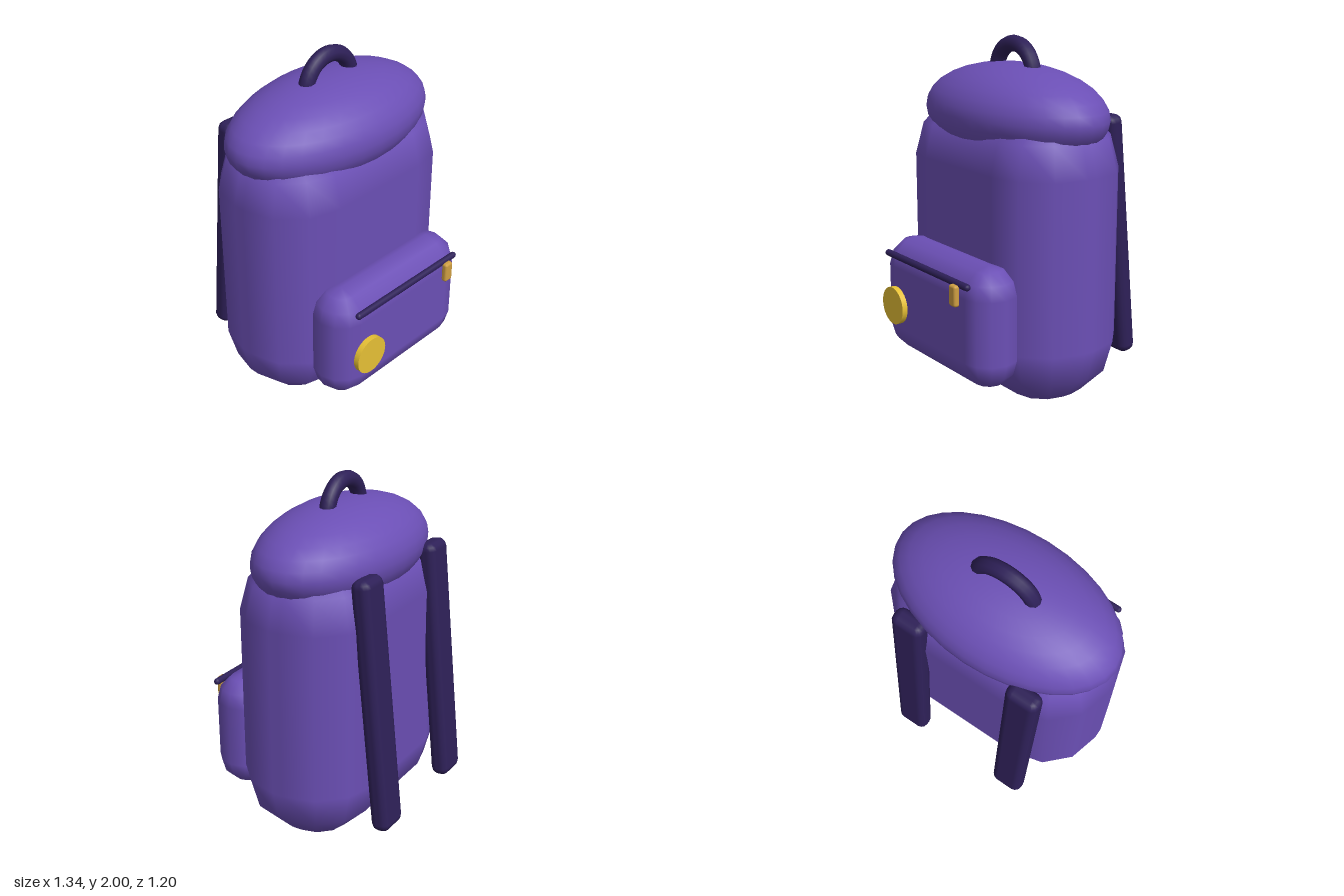
import * as THREE from 'three';

const mat = (color) => new THREE.MeshStandardMaterial({ color });

// Box with every edge rounded in `seg` equal-angle steps
function roundedBox(w, h, d, r, seg = 3) {
  const step = Math.PI / 2 / seg;
  const bx = w / 2 - r, by = h / 2 - r, bz = d / 2 - r;
  // rows run from the top cap down to the bottom cap, doubled at the equator
  const rows = [];
  for (let half = 0; half < 2; half++)
    for (let i = 0; i <= seg; i++) rows.push({ t: (half * seg + i) * step, sy: half ? -1 : 1, k: 1 });
  rows.unshift({ t: 0, sy: 1, k: 0 });
  rows.push({ t: Math.PI, sy: -1, k: 0 });
  // columns run round the box, doubled where the flat sides lie
  const cols = [];
  for (let q = 0; q < 4; q++)
    for (let i = 0; i <= seg; i++)
      cols.push({ p: (q * seg + i) * step, sx: q === 0 || q === 3 ? 1 : -1, sz: q < 2 ? 1 : -1 });
  cols.push(cols[0]);

  const pos = [], nor = [], idx = [];
  for (const { t, sy, k } of rows)
    for (const { p, sx, sz } of cols) {
      const n = [Math.sin(t) * Math.cos(p), Math.cos(t), Math.sin(t) * Math.sin(p)];
      pos.push(k * sx * bx + n[0] * r, sy * by + n[1] * r, k * sz * bz + n[2] * r);
      nor.push(...n);
    }
  const c = cols.length;
  for (let i = 0; i < rows.length - 1; i++)
    for (let j = 0; j < c - 1; j++) {
      const a = i * c + j, b = a + c;
      idx.push(a, a + 1, b, a + 1, b + 1, b);
    }
  const g = new THREE.BufferGeometry();
  g.setAttribute('position', new THREE.Float32BufferAttribute(pos, 3));
  g.setAttribute('normal', new THREE.Float32BufferAttribute(nor, 3));
  g.setIndex(idx);
  return g;
}

export function createModel() {
  const model = new THREE.Group();
  model.name = 'backpack';
  const fabric = mat(0x6b4fb5), dark = mat(0x2e2058), gold = mat(0xe6c035), brass = mat(0xcf9f42);

  const add = (name, geometry, material, x, y, z) => {
    const mesh = new THREE.Mesh(geometry, material);
    mesh.name = name;
    mesh.position.set(x, y, z);
    model.add(mesh);
    return mesh;
  };

  // Main bag and the domed lid sunk into its top
  add('body', roundedBox(1.34, 1.67, 0.78, 0.36), fabric, 0, 0.835, -0.04);
  const lid = new THREE.SphereGeometry(1, 32, 16).scale(0.67, 0.27, 0.39);
  add('lid', lid, fabric, 0, 1.583, -0.04);

  // Carry loop
  add('handle', new THREE.TorusGeometry(0.165, 0.045, 10, 20, Math.PI), dark, 0, 1.79, -0.043);

  // Front pocket with zip, pull tab and round badge
  add('frontPocket', roundedBox(1.02, 0.675, 0.32, 0.158), fabric, 0, 0.517, 0.392);
  const zip = new THREE.CapsuleGeometry(0.019, 0.785, 4, 10).rotateZ(Math.PI / 2);
  add('zip', zip, dark, 0, 0.774, 0.56);
  add('zipPull', roundedBox(0.06, 0.118, 0.036, 0.014), brass, 0.313, 0.716, 0.587);
  const badge = new THREE.CylinderGeometry(0.109, 0.109, 0.032, 32).rotateX(Math.PI / 2);
  add('badge', badge, gold, -0.316, 0.48, 0.573);

  // Shoulder straps, leaning away from the back toward the bottom
  for (const [name, side] of [['leftStrap', 1], ['rightStrap', -1]]) {
    const strap = add(name, roundedBox(0.195, 1.42, 0.11, 0.045), dark, side * 0.355, 0.875, -0.473);
    strap.rotation.x = 0.105;
  }
  return model;
}
